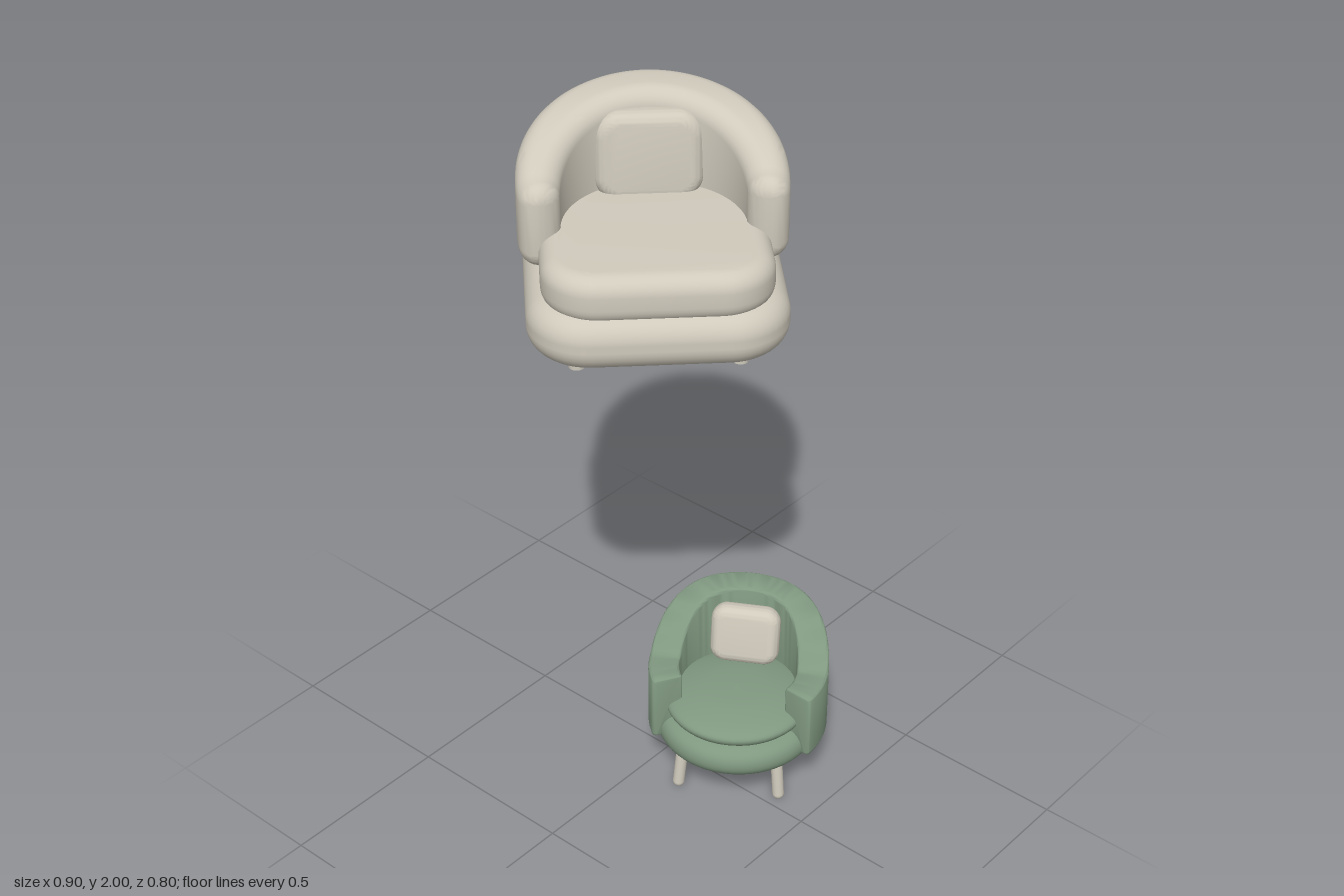
import * as THREE from 'three';
import { toCreasedNormals } from 'three/addons/utils/BufferGeometryUtils.js';

const cream = new THREE.MeshStandardMaterial({ color: 0xd0cabc });
cream.name = 'cream fabric';
const green = new THREE.MeshStandardMaterial({ color: 0x809880 });
green.name = 'sage green fabric';

function add(parent, name, geometry, material, x = 0, y = 0, z = 0) {
  const mesh = new THREE.Mesh(geometry, material);
  mesh.name = name;
  mesh.position.set(x, y, z);
  parent.add(mesh);
  return mesh;
}

// Points of a rounded rectangle, counter-clockwise
function roundedRect(x0, x1, y0, y1, r, steps = 7) {
  const pts = [];
  const corners = [[x1 - r, y0 + r], [x1 - r, y1 - r], [x0 + r, y1 - r], [x0 + r, y0 + r]];
  corners.forEach(([cx, cy], k) => {
    for (let i = 0; i <= steps; i++) {
      const a = (k - 1 + i / steps) * Math.PI / 2;
      pts.push(new THREE.Vector2(cx + r * Math.cos(a), cy + r * Math.sin(a)));
    }
  });
  return pts;
}

// Centred, soft-edged slab whose thickness runs along z
function slab(width, height, thick, radius, bevel) {
  const w = width / 2 - bevel, h = height / 2 - bevel;
  const shape = new THREE.Shape(roundedRect(-w, w, -h, h, radius - bevel, 10));
  const geometry = new THREE.ExtrudeGeometry(shape, {
    depth: thick - 2 * bevel, bevelThickness: bevel, bevelSize: bevel, bevelSegments: 8,
  });
  geometry.translate(0, 0, bevel - thick / 2);
  return toCreasedNormals(geometry, 0.7);
}

// Curved wrap-around back: a rounded section swept from one arm to the other.
// section(t) gives [inner radius, outer radius, bottom, top]; t is 0 at the back, 1 at an arm tip.
function wrapBack(maxAngle, section, corner, endRound, zCentre = 0) {
  const rings = [];
  const ring = (angle, inset) => {
    const [ri, ro, y0, y1] = section(Math.min(1, Math.abs(angle) / maxAngle));
    const pts = roundedRect(ri + inset, ro - inset, y0 + inset, y1 - inset, Math.max(0.004, corner - inset));
    rings.push(pts.map(p => new THREE.Vector3(p.x * Math.sin(angle), p.y, zCentre - p.x * Math.cos(angle))));
  };
  const [ri, ro] = section(1);
  const capSteps = 7, steps = 64, capAngle = endRound / ((ri + ro) / 2);
  const cap = (side, k) => {
    const a = k / capSteps * Math.PI / 2;
    ring(side * (maxAngle + capAngle * Math.sin(a)), endRound * (1 - Math.cos(a)));
  };
  for (let k = capSteps; k > 0; k--) cap(-1, k);
  for (let i = 0; i <= steps; i++) ring(maxAngle * (2 * i / steps - 1), 0);
  for (let k = 1; k <= capSteps; k++) cap(1, k);

  const m = rings[0].length, last = rings.length - 1, index = [];
  const points = rings.flat();
  for (const r of [rings[0], rings[last]]) {
    points.push(r.reduce((s, p) => s.add(p), new THREE.Vector3()).divideScalar(m));
  }
  for (let j = 0; j < m; j++) {
    const k = (j + 1) % m;
    for (let i = 0; i < last; i++) {
      const a = i * m + j, b = i * m + k, c = b + m, d = a + m;
      index.push(a, b, c, a, c, d);
    }
    index.push(last * m + m, k, j, last * m + m + 1, last * m + j, last * m + k);
  }
  const geometry = new THREE.BufferGeometry().setFromPoints(points);
  geometry.setIndex(index);
  return toCreasedNormals(geometry, 0.6);
}

// Round upholstered disc from a smooth profile
function disc(profile) {
  const curve = new THREE.SplineCurve(profile.map(([r, y]) => new THREE.Vector2(r, y)));
  const pts = curve.getPoints(32);
  pts.forEach(p => { p.x = Math.max(0, p.x); });
  pts[0].x = pts[pts.length - 1].x = 0;
  return new THREE.LatheGeometry(pts, 56);
}

// Large square lounge chair
function loungeChair() {
  const chair = new THREE.Group();
  chair.name = 'loungeChair';

  const base = slab(0.68, 0.65, 0.155, 0.165, 0.068);
  add(chair, 'base', base.rotateX(-Math.PI / 2), cream, 0, 1.553, 0);

  const seat = slab(0.6, 0.53, 0.135, 0.145, 0.05);
  add(chair, 'seatCushion', seat.rotateX(-Math.PI / 2), cream, 0, 1.669, 0.035);

  const back = wrapBack(1.7, t => [0.197 + 0.045 * t * t, 0.364 - 0.012 * t, 1.625 + 0.01 * t, 2 - 0.125 * t * t],
    0.053, 0.05, -0.03);
  add(chair, 'wrapAroundBack', back, cream);

  const pillow = add(chair, 'backCushion', slab(0.29, 0.25, 0.1, 0.07, 0.035), cream, 0, 1.828, -0.215);
  pillow.rotation.x = -0.08;

  for (const side of [-1, 1]) {
    for (const [name, x, z] of [['frontLeg', 0.212, 0.177], ['backLeg', 0.216, -0.216]]) {
      add(chair, name, new THREE.CylinderGeometry(0.023, 0.022, 0.08, 20), cream, side * x, 1.46, z);
    }
  }
  return chair;
}

// Small round tub chair
function tubChair() {
  const chair = new THREE.Group();
  chair.name = 'tubChair';

  add(chair, 'base', disc([[0, 0.07], [0.08, 0.072], [0.16, 0.092], [0.22, 0.13], [0.235, 0.165],
    [0.222, 0.2], [0.18, 0.218], [0.09, 0.222], [0, 0.222]]), green);
  add(chair, 'seatCushion', disc([[0, 0.212], [0.1, 0.212], [0.18, 0.217], [0.208, 0.245],
    [0.185, 0.268], [0.1, 0.287], [0, 0.292]]), green, 0, 0, 0.012);

  // Flat arms that climb to a higher back
  const maxAngle = Math.PI * 2 / 3 - 0.05;
  const back = wrapBack(maxAngle, t => {
    const depth = Math.max(0, Math.cos(t * maxAngle));
    return [0.168, 0.258, 0.15, 0.355 + 0.14 * Math.sin(depth * Math.PI / 2) ** 1.1];
  }, 0.012, 0.01);
  add(chair, 'wrapAroundBack', back, green);

  const pillow = add(chair, 'throwPillow', slab(0.2, 0.175, 0.07, 0.045, 0.03), cream, 0, 0.375, -0.118);
  pillow.rotation.x = -0.22;

  // Splayed legs with rounded feet
  for (const sx of [-1, 1]) {
    for (const sz of [-1, 1]) {
      const leg = add(chair, sz > 0 ? 'frontLeg' : 'backLeg',
        new THREE.CapsuleGeometry(0.017, 0.11, 6, 16), cream, sx * 0.141, 0.072, sz * 0.141);
      leg.rotation.set(-sz * 0.08, 0, sx * 0.08);
    }
  }
  return chair;
}

export function createModel() {
  const model = new THREE.Group();
  model.name = 'armchairs';

  const lounge = loungeChair();
  lounge.position.set(-0.05, 0, 0);
  lounge.rotation.y = Math.PI / 4;

  const tub = tubChair();
  tub.position.set(0.187, 0, -0.09);
  tub.rotation.y = Math.PI / 6;

  model.add(lounge, tub);
  return model;
}
